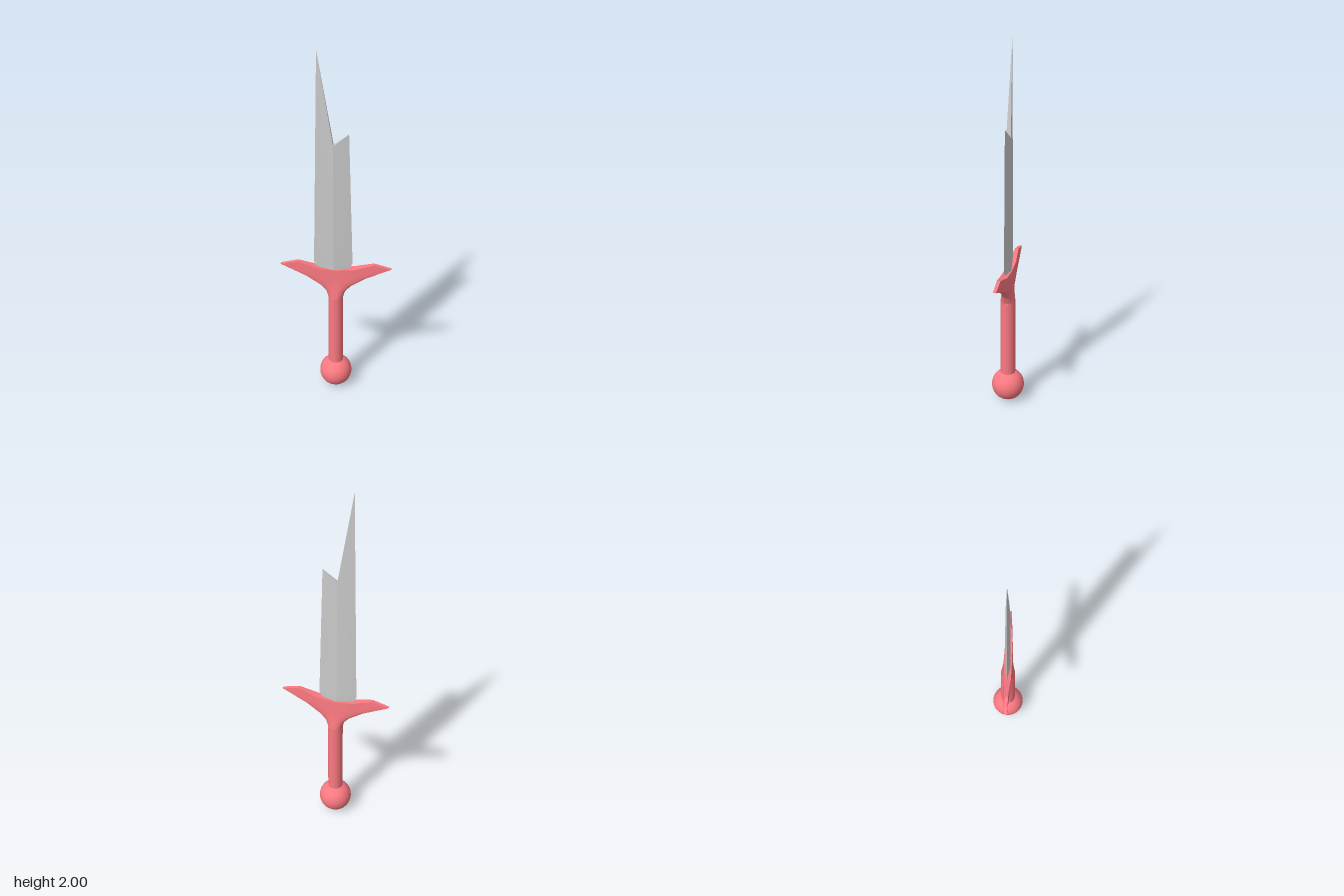
import * as THREE from 'three';
import { toCreasedNormals } from 'three/addons/utils/BufferGeometryUtils.js';

// Skins rows of [x, y, halfDepth] points, mirrored front to back and capped on top.
function loftMirrored(rows, crease) {
  const m = rows[0].length, n = m * 2;
  const pos = [], idx = [];
  for (const row of rows) {
    for (const [x, y, z] of row) pos.push(x, y, z);
    for (const [x, y, z] of [...row].reverse()) pos.push(x, y, -z);
  }
  const quad = (a, b, c, d) => idx.push(a, b, c, a, c, d);
  for (let r = 0; r < rows.length - 1; r++) {
    for (let j = 0; j < n; j++) {
      const k = (j + 1) % n;
      quad(r * n + j, r * n + k, (r + 1) * n + k, (r + 1) * n + j);
    }
  }
  const top = (rows.length - 1) * n;
  for (let j = 0; j < m - 1; j++) quad(top + j, top + j + 1, top + n - 2 - j, top + n - 1 - j);
  const geo = new THREE.BufferGeometry();
  geo.setAttribute('position', new THREE.Float32BufferAttribute(pos, 3));
  geo.setIndex(idx);
  return toCreasedNormals(geo, crease);
}

// Linear interpolation through [x, value] stops.
function along(stops, x) {
  for (let i = 1; i < stops.length; i++) {
    const [x0, v0] = stops[i - 1], [x1, v1] = stops[i];
    if (x <= x1) return v0 + (v1 - v0) * (x - x0) / (x1 - x0);
  }
  return stops[stops.length - 1][1];
}

export function createModel() {
  const group = new THREE.Group();
  const red = new THREE.MeshStandardMaterial({ color: 0xfb7981 });
  const grey = new THREE.MeshStandardMaterial({ color: 0xcccccc });
  const add = (name, geo, mat, y = 0) => {
    const mesh = new THREE.Mesh(geo, mat);
    mesh.name = name;
    mesh.position.y = y;
    group.add(mesh);
  };

  // Round pommel and cylindrical grip
  add('pommel', new THREE.SphereGeometry(0.088, 32, 24), red, 0.088);
  add('grip', new THREE.CylinderGeometry(0.04, 0.04, 0.45, 24, 1, true), red, 0.375);

  // Guard: flares from the round grip into two flat, upswept wings
  const half = [0.17, 0.345, 0.52, 0.69, 0.85, 0.95, 1];
  const us = [...half.map(u => -u).reverse(), 0, ...half];
  const flare = [ // half width, height, half depth, depth kept at the ends
    [0.04, 0.6, 0.04, 0],
    [0.051, 0.64, 0.034, 0.15],
    [0.08, 0.675, 0.028, 0.4],
    [0.155, 0.73, 0.024, 0.65],
  ];
  const guardRows = flare.map(([w, y, d, e]) =>
    us.map(u => [w * u, y, d * (e + (1 - e) * Math.sqrt(1 - u * u))]));
  const topHeight = [[0, 0.775], [0.1, 0.785], [0.2, 0.815], [0.29, 0.792]];
  const topDepth = [[0, 0.021], [0.1, 0.02], [0.2, 0.01], [0.29, 0.008]];
  guardRows.push(us.map(u => {
    const x = 0.292 * u, a = Math.abs(x);
    return [x, along(topHeight, a), along(topDepth, a)];
  }));
  add('guard', loftMirrored(guardRows, 0.45), red);

  // Broken blade: diamond section, one long splinter and one short stump
  const ridge = -0.012;
  add('blade', loftMirrored([
    [[-0.098, 0.765, 0], [ridge, 0.765, 0.015], [0.073, 0.765, 0]],
    [[-0.1, 0.785, 0], [ridge, 0.785, 0.015], [0.075, 0.785, 0]],
    [[-0.115, 0.815, 0], [ridge, 0.815, 0.015], [0.088, 0.815, 0]],
    [[-0.092, 2.0, 0], [ridge, 1.505, 0.012], [0.065, 1.57, 0]],
  ], 0.1), grey);

  return group;
}
